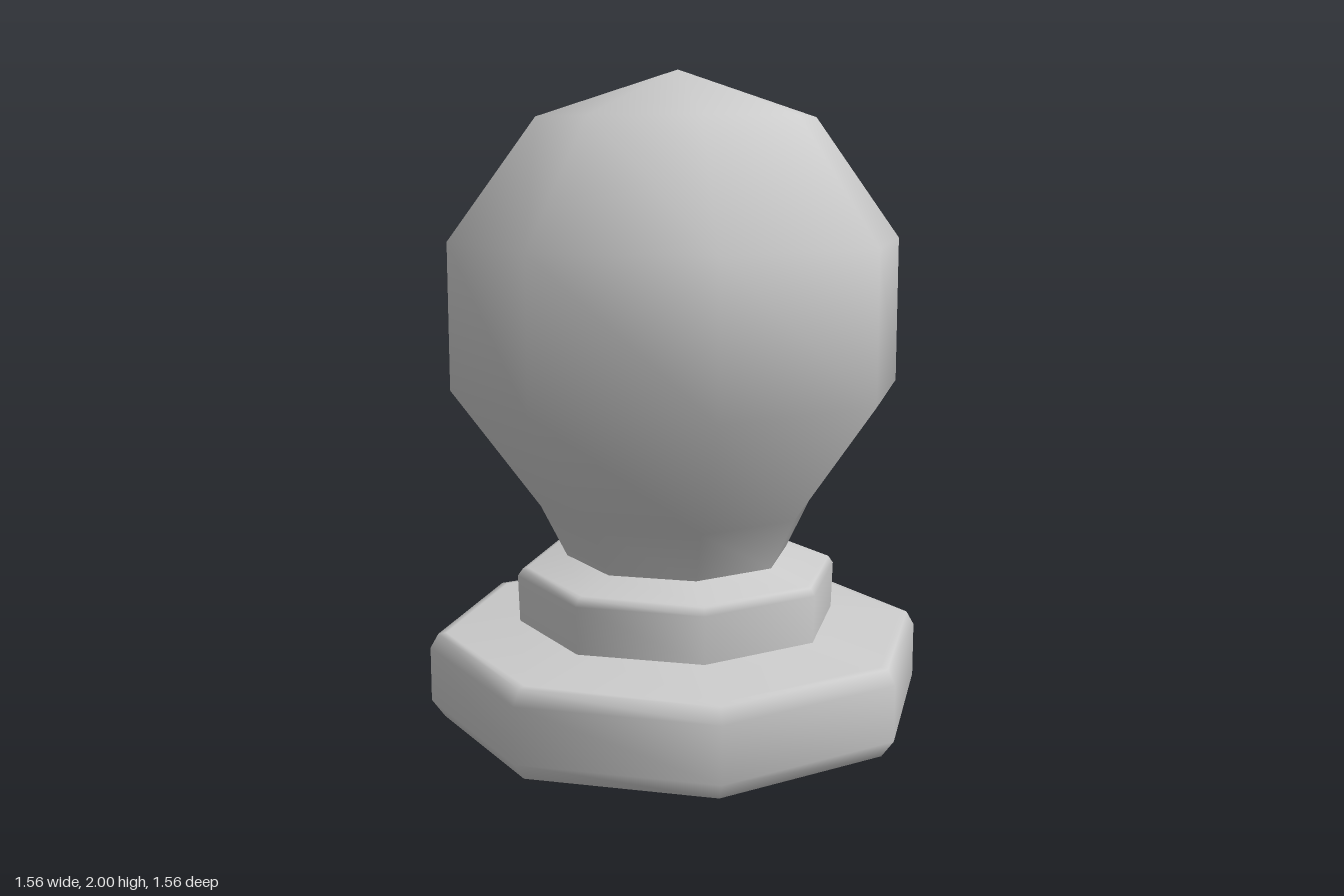
import * as THREE from 'three';

const SIDES = 8;

// Turns a bottom-to-top profile of [radius, height] into a smooth eight-sided part
function turned(name, profile, material) {
  const points = profile.map(([r, y]) => new THREE.Vector2(r, y));
  const geometry = new THREE.LatheGeometry(points, SIDES);
  const { position, normal } = geometry.attributes;
  // Vertices on the axis point straight up or down
  for (let i = 0; i < position.count; i++) {
    if (Math.hypot(position.getX(i), position.getZ(i)) < 1e-6) {
      normal.setXYZ(i, 0, position.getY(i) > 0.5 ? 1 : -1, 0);
    }
  }
  const mesh = new THREE.Mesh(geometry, material);
  mesh.name = name;
  return mesh;
}

export function createModel() {
  const group = new THREE.Group();
  group.name = 'knob';
  const material = new THREE.MeshStandardMaterial({ color: 0xcccccc });

  // Wide foot, bevelled at both rims, with a gently sloping top
  group.add(turned('base', [
    [0, 0], [0.725, 0], [0.74, 0.005], [0.78, 0.06], [0.78, 0.23],
    [0.755, 0.274], [0.73, 0.277], [0.5, 0.305],
  ], material));

  // Raised step between foot and neck
  group.add(turned('collar', [
    [0.5, 0.305], [0.505, 0.45], [0.49, 0.472], [0.475, 0.476], [0.35, 0.51],
  ], material));

  // Flared neck running into the round knob
  group.add(turned('neckAndBall', [
    [0.35, 0.51], [0.43, 0.67], [0.7, 1.04], [0.7, 1.49], [0.43, 1.86], [0, 2],
  ], material));

  return group;
}
